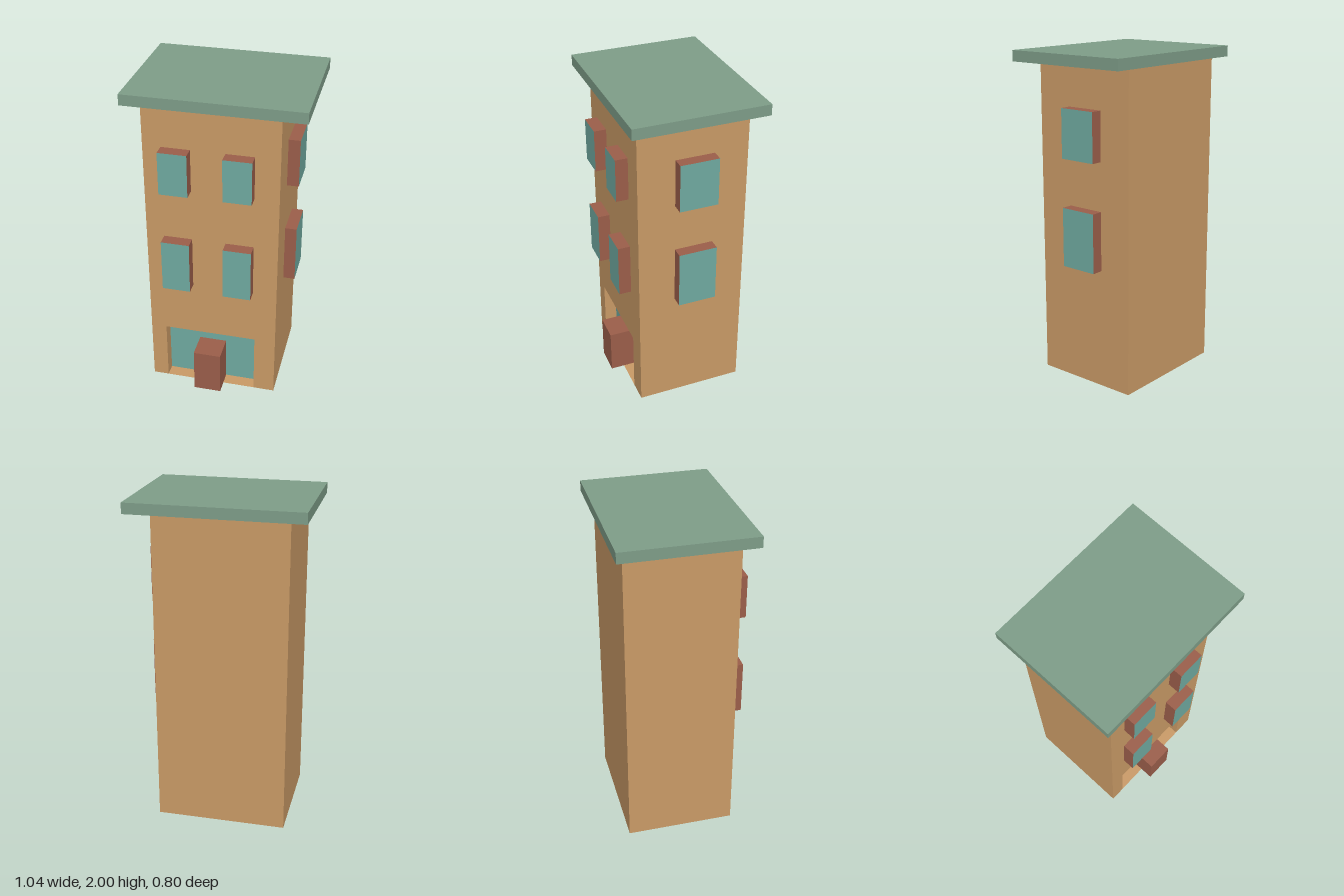
import * as THREE from 'three';

const make = (name, color) => {
  const m = new THREE.MeshStandardMaterial({ color, side: THREE.DoubleSide });
  m.name = name;
  return m;
};

// Rectangular outline, optionally used as a hole
function rect(x0, x1, y0, y1, Type = THREE.Shape) {
  return new Type([[x0, y0], [x1, y0], [x1, y1], [x0, y1]].map(([x, y]) => new THREE.Vector2(x, y)));
}

// Closed block between two corners
function block(name, mat, x0, x1, y0, y1, z0, z1) {
  const mesh = new THREE.Mesh(new THREE.BoxGeometry(x1 - x0, y1 - y0, z1 - z0), mat);
  mesh.position.set((x0 + x1) / 2, (y0 + y1) / 2, (z0 + z1) / 2);
  mesh.name = name;
  return mesh;
}

// Hollow block made only of the listed faces: l(+x) r(-x) t b f(+z) k(-z)
function shell(name, mat, faces, x0, x1, y0, y1, z0, z1) {
  const corners = {
    l: [[x1, y0, z1], [x1, y0, z0], [x1, y1, z0], [x1, y1, z1]],
    r: [[x0, y0, z0], [x0, y0, z1], [x0, y1, z1], [x0, y1, z0]],
    t: [[x0, y1, z1], [x1, y1, z1], [x1, y1, z0], [x0, y1, z0]],
    b: [[x0, y0, z0], [x1, y0, z0], [x1, y0, z1], [x0, y0, z1]],
    f: [[x0, y0, z1], [x1, y0, z1], [x1, y1, z1], [x0, y1, z1]],
    k: [[x1, y0, z0], [x0, y0, z0], [x0, y1, z0], [x1, y1, z0]],
  };
  const points = [...faces].flatMap((f) => [0, 1, 2, 0, 2, 3].flatMap((i) => corners[f][i]));
  const geo = new THREE.BufferGeometry();
  geo.setAttribute('position', new THREE.Float32BufferAttribute(points, 3));
  geo.computeVertexNormals();
  const mesh = new THREE.Mesh(geo, mat);
  mesh.name = name;
  return mesh;
}

export function createModel() {
  const wall = make('tan wall', 0xc99a66);
  const glass = make('teal glass', 0x70aaa0);
  const brick = make('red brown trim', 0x9b5e4a);
  const green = make('green roof', 0x7e9d88);
  const model = new THREE.Group();
  model.name = 'townhouse';

  const [X0, X1, Z0, Z1, H] = [-0.425, 0.37, -0.35, 0.315, 1.935];
  const [RX0, RX1, RH, RZ] = [-0.33, 0.24, 0.395, 0.237]; // shopfront recess
  const [DX0, DX1, DH, DZ] = [-0.13, 0.04, 0.285, 0.4]; // door

  // Hollow walls
  model.add(shell('walls', wall, 'lrkt', X0, X1, 0, H, Z0, Z1));

  // Front wall with the shopfront opening
  const front = new THREE.Shape([
    [X0, 0], [RX0, 0], [RX0, RH], [RX1, RH], [RX1, 0], [X1, 0], [X1, H], [X0, H],
  ].map(([x, y]) => new THREE.Vector2(x, y)));
  const frontWall = new THREE.Mesh(new THREE.ShapeGeometry(front), wall);
  frontWall.position.z = Z1;
  frontWall.name = 'frontWall';
  model.add(frontWall);

  // Floor with two openings behind the shopfront (shape y becomes z)
  const floorShape = rect(X0, X1, Z0, Z1);
  floorShape.holes.push(
    rect(DX1, RX1, Z0 + 0.004, RZ, THREE.Path),
    rect(RX0, DX0, 0.066, RZ, THREE.Path),
  );
  const floor = new THREE.Mesh(new THREE.ShapeGeometry(floorShape).rotateX(Math.PI / 2), wall);
  floor.name = 'floor';
  model.add(floor);

  // Recess sides and ceiling, with glass set back around the door
  model.add(shell('recess', wall, 'lrt', RX0, RX1, 0, RH, RZ, Z1));
  const pane = new THREE.Shape([
    [RX0, 0], [DX0, 0], [DX0, DH], [DX1, DH], [DX1, 0], [RX1, 0], [RX1, RH], [RX0, RH],
  ].map(([x, y]) => new THREE.Vector2(x, y)));
  const shopWindow = new THREE.Mesh(new THREE.ShapeGeometry(pane), glass);
  shopWindow.position.z = RZ;
  shopWindow.name = 'shopWindow';
  model.add(shopWindow);

  // Projecting door, open to the inside
  model.add(shell('door', brick, 'lrtf', DX0, DX1, 0, DH, RZ, DZ));
  model.add(shell('doorBase', brick, 'b', DX0, DX1, 0, DH, Z1, DZ));

  // Projecting windows on two upper floors: glass face, red brown sides
  const frontMats = [brick, brick, brick, brick, glass, brick];
  const sideMats = [glass, brick, brick, brick, brick, brick];
  for (const [y0, y1, s0, s1] of [[0.75, 1.08, 0.735, 1.095], [1.405, 1.67, 1.39, 1.685]]) {
    for (const [x0, x1] of [[-0.317, -0.146], [0.057, 0.225]]) {
      model.add(block('frontWindow', frontMats, x0, x1, y0, y1, Z1 - 0.002, 0.39));
    }
    model.add(block('sideWindow', sideMats, X1 - 0.002, 0.44, s0, s1, -0.145, 0.09));
  }

  // Flat overhanging roof
  model.add(block('roof', green, -0.52, 0.52, H, 2, -0.4, 0.392));
  return model;
}
